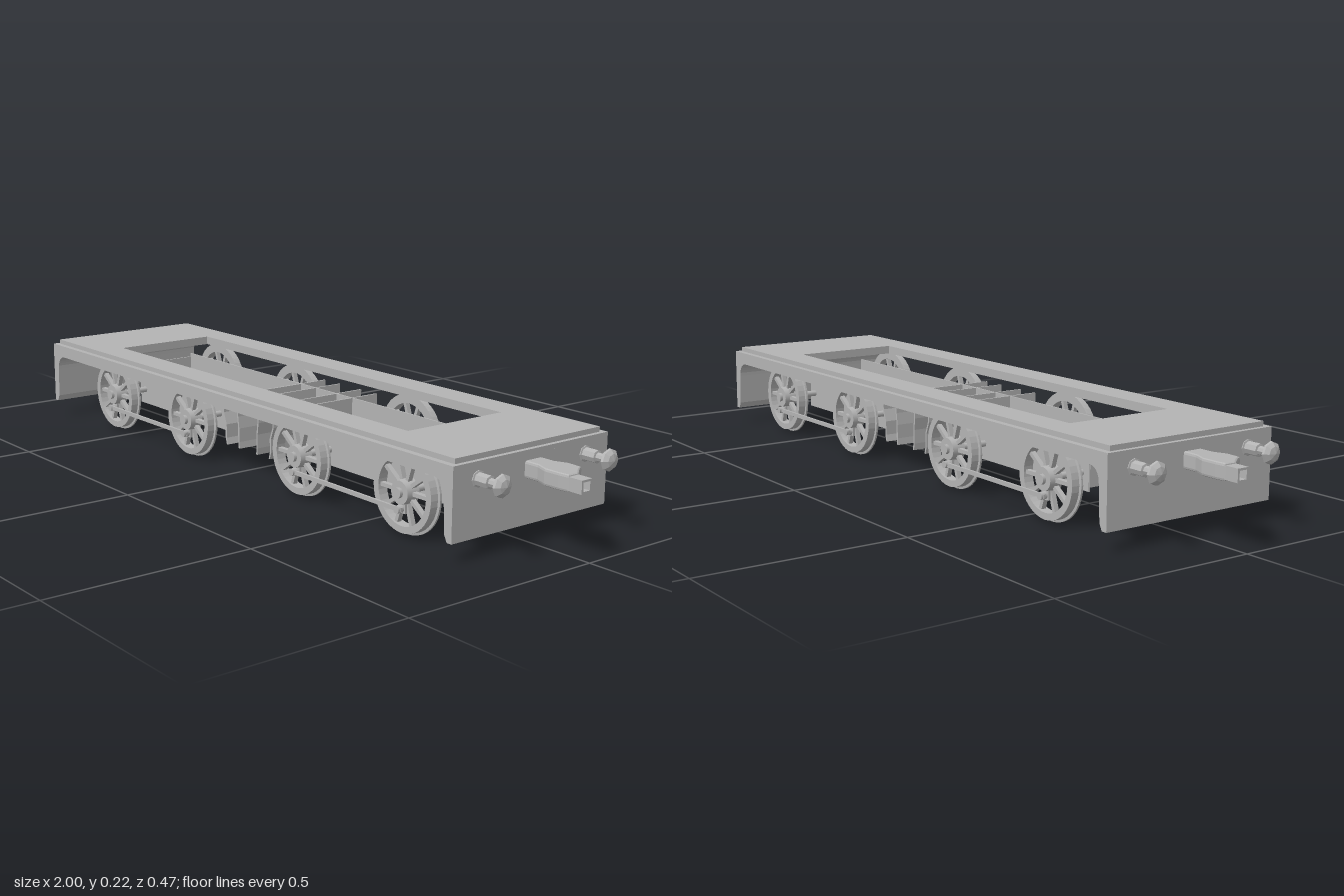
import * as THREE from 'three';

const grey = new THREE.MeshStandardMaterial({ color: 0xb4b4b4, side: THREE.DoubleSide });
grey.name = 'plain grey';

function add(parent, name, geometry, x = 0, y = 0, z = 0) {
  const mesh = new THREE.Mesh(geometry, grey);
  mesh.name = name;
  mesh.position.set(x, y, z);
  parent.add(mesh);
  return mesh;
}
const box = (w, h, d) => new THREE.BoxGeometry(w, h, d);
const shapeOf = (pts) => new THREE.Shape(pts.map(([x, y]) => new THREE.Vector2(x, y)));
// Extrude centred on its depth
function slab(shape, depth) {
  const g = new THREE.ExtrudeGeometry(shape, { depth, bevelEnabled: false, curveSegments: 8 });
  return g.translate(0, 0, -depth / 2);
}
// Horizontal plate with the large deck opening
function deckPlate(halfX, halfZ, thickness) {
  const s = shapeOf([[-halfX, -halfZ], [halfX, -halfZ], [halfX, halfZ], [-halfX, halfZ]]);
  s.holes.push(new THREE.Path([[-0.6, -0.143], [-0.6, 0.143], [0.595, 0.143], [0.595, -0.143]]
    .map(([x, y]) => new THREE.Vector2(x, y))));
  return slab(s, thickness).rotateX(-Math.PI / 2);
}

// Spoked wheel, its outer face towards +z
function wheel() {
  const g = new THREE.Group();
  g.name = 'wheel';
  const profile = [[0.077, -0.013], [0.1, -0.013], [0.1, -0.008], [0.094, -0.007],
    [0.093, 0.012], [0.077, 0.012], [0.077, -0.013]].map(([r, y]) => new THREE.Vector2(r, y));
  const rim = new THREE.LatheGeometry(profile, 40).toNonIndexed();
  rim.computeVertexNormals();
  add(g, 'wheelRim', rim.rotateX(Math.PI / 2));
  add(g, 'hub', new THREE.CylinderGeometry(0.027, 0.03, 0.032, 20).rotateX(Math.PI / 2), 0, 0, 0.003);
  add(g, 'axleEnd', new THREE.CylinderGeometry(0.012, 0.012, 0.01, 12).rotateX(Math.PI / 2), 0, 0, 0.022);
  for (let i = 0; i < 10; i++) {
    const spoke = add(g, 'spoke', box(0.009, 0.056, 0.012).translate(0, 0.052, 0));
    spoke.rotation.z = (i + 0.5) * Math.PI / 5;
  }
  // Crank boss and pin for the coupling rod
  add(g, 'crankBoss', box(0.024, 0.045, 0.016), 0, -0.025, 0.004);
  add(g, 'crankPin', new THREE.CylinderGeometry(0.009, 0.009, 0.024, 12).rotateX(Math.PI / 2), 0, -0.037, 0.016);
  return g;
}

// Buffers and coupler of the +x end
function endFittings() {
  const g = new THREE.Group();
  g.name = 'endFittings';
  const profile = [[0, 0], [0.019, 0], [0.019, 0.006], [0.015, 0.007], [0.015, 0.04], [0.01, 0.041],
    [0.01, 0.066], [0.026, 0.07], [0.025, 0.075], [0.016, 0.083], [0, 0.087]]
    .map(([r, y]) => new THREE.Vector2(r, y));
  for (const s of [-1, 1]) {
    const b = new THREE.LatheGeometry(profile, 8).toNonIndexed();
    b.computeVertexNormals();
    add(g, 'buffer', b.rotateZ(-Math.PI / 2), 0.83, 0.172, s * 0.163);
  }
  // Coupler body, widening and then narrowing to one side
  const body = shapeOf([[0.82, 0.026], [0.87, 0.026], [0.9, 0.038], [0.94, 0.038], [0.965, 0.035],
    [0.965, 0.005], [0.945, -0.02], [0.935, -0.036], [0.9, -0.038], [0.87, -0.026], [0.82, -0.026]]);
  const bg = new THREE.ExtrudeGeometry(body, {
    depth: 0.026, bevelEnabled: true, bevelThickness: 0.006, bevelSize: 0.004, bevelOffset: -0.004, bevelSegments: 2,
  });
  add(g, 'couplerBody', bg.translate(0, 0, -0.013).rotateX(Math.PI / 2), 0, 0.168, 0);
  // Hollow square tip
  const tip = shapeOf([[-0.015, -0.015], [0.015, -0.015], [0.015, 0.015], [-0.015, 0.015]]);
  tip.holes.push(new THREE.Path([[-0.01, -0.01], [-0.01, 0.01], [0.01, 0.01], [0.01, -0.01]]
    .map(([x, y]) => new THREE.Vector2(x, y))));
  add(g, 'couplerTip', slab(tip, 0.04).rotateY(Math.PI / 2), 0.98, 0.168, 0.02);
  return g;
}

export function createModel() {
  const model = new THREE.Group();
  model.name = 'wheeledChassis';

  // Deck: lower plate and a slightly smaller raised plate
  add(model, 'lowerDeck', deckPlate(0.834, 0.235, 0.01), 0, 0.205, 0);
  add(model, 'upperDeck', deckPlate(0.823, 0.22, 0.012), 0, 0.216, 0);

  // End plates with a rounded inner corner under the deck
  for (const s of [-1, 1]) {
    const p = new THREE.Shape();
    p.moveTo(0.834, 0.044);
    p.lineTo(0.834, 0.202);
    p.lineTo(0.77, 0.202);
    p.lineTo(0.77, 0.178);
    p.quadraticCurveTo(0.808, 0.178, 0.808, 0.14);
    p.lineTo(0.812, 0.06);
    p.lineTo(0.82, 0.044);
    const plate = add(model, 'endPlate', slab(p, 0.47));
    plate.rotation.y = s > 0 ? 0 : Math.PI;
    // Side valances
    add(model, 'sideValance', box(1.6, 0.032, 0.015), 0, 0.194, s * 0.2275);
  }

  // Inner longitudinal frames and the stretcher at their end
  for (const s of [-1, 1]) add(model, 'innerFrame', box(1.255, 0.12, 0.004), 0.0275, 0.12, s * 0.085);
  add(model, 'endStretcher', box(0.004, 0.1, 0.17), -0.6, 0.12, 0);

  // Bent cross plates in the middle
  for (const [x, bend] of [[-0.08, 0.016], [-0.018, 0.006], [0.068, -0.006], [0.13, -0.016]]) {
    const t = 0.005;
    const p = shapeOf([[0, 0.18], [0, 0.14], [bend * 0.7, 0.11], [bend * 0.7, 0.075], [bend, 0.058],
      [bend + t, 0.058], [bend * 0.7 + t, 0.075], [bend * 0.7 + t, 0.11], [t, 0.14], [t, 0.18]]);
    add(model, 'crossPlate', slab(p, 0.33), x, 0, 0);
  }

  // Wheelsets
  const axles = [-0.575, -0.205, 0.257, 0.63];
  for (const x of axles) {
    add(model, 'axle', new THREE.CylinderGeometry(0.008, 0.008, 0.35, 12).rotateX(Math.PI / 2), x, 0.1, 0);
    for (const s of [-1, 1]) {
      const w = wheel();
      w.position.set(x, 0.1, s * 0.178);
      if (s < 0) w.rotation.y = Math.PI;
      model.add(w);
    }
  }
  // Coupling rods between neighbouring wheels
  for (const [a, b] of [[axles[0], axles[1]], [axles[2], axles[3]]]) {
    for (const s of [-1, 1]) add(model, 'couplingRod', box(b - a + 0.02, 0.01, 0.006), (a + b) / 2, 0.063, s * 0.199);
  }

  // Buffers and couplers at both ends
  const right = endFittings();
  const left = endFittings();
  left.rotation.y = Math.PI;
  model.add(right, left);
  return model;
}
